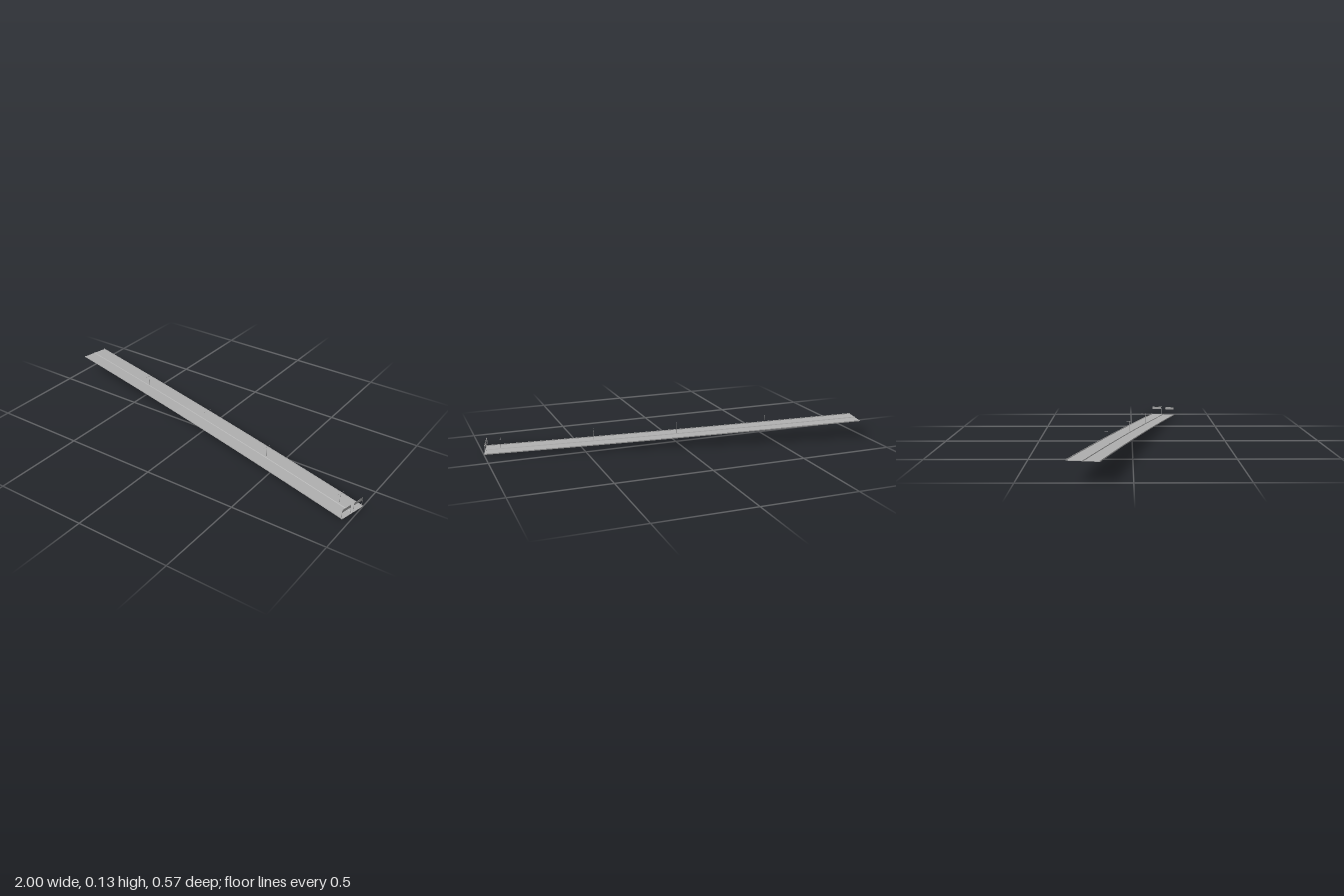
import * as THREE from 'three';

const concrete = new THREE.MeshStandardMaterial({ color: 0xb0b0b0 });
concrete.name = 'concrete';
const steel = new THREE.MeshStandardMaterial({ color: 0xa6a6a6 });
steel.name = 'steel';

// Centre line of the gently curved, sloping road; t = 0 is the high end
const centre = (t) => new THREE.Vector3(
  -0.983 + 1.966 * t,
  0.089 * (1 - t),
  -0.2125 + 0.425 * t - 0.048 * t * (1 - t)
);
const heading = (t) => Math.atan2(0.425 - 0.048 * (1 - 2 * t), 1.966);

// Point at a sideways offset (positive towards the front) and a height above the base
function place(t, offset, height) {
  const p = centre(t), a = heading(t);
  return new THREE.Vector3(p.x - Math.sin(a) * offset, p.y + height, p.z + Math.cos(a) * offset);
}

// A box bent along the whole road; taper narrows its top
function strip(name, offset, width, y0, y1, taper = 1) {
  const g = new THREE.BoxGeometry(1, 1, 1, 48, 1, 1);
  const pos = g.attributes.position;
  for (let i = 0; i < pos.count; i++) {
    const top = pos.getY(i) > 0;
    const side = offset + pos.getZ(i) * width * (top ? taper : 1);
    const p = place(pos.getX(i) + 0.5, side, top ? y1 : y0);
    pos.setXYZ(i, p.x, p.y, p.z);
  }
  g.computeVertexNormals();
  const mesh = new THREE.Mesh(g, concrete);
  mesh.name = name;
  return mesh;
}

function box(name, w, h, d, x, y, z, material = steel) {
  const mesh = new THREE.Mesh(new THREE.BoxGeometry(w, h, d), material);
  mesh.name = name;
  mesh.position.set(x, y, z);
  return mesh;
}

// Double-armed street lamp standing on the central barrier
function streetLamp(t) {
  const lamp = new THREE.Group();
  lamp.name = 'streetLamp';
  const pole = new THREE.Mesh(new THREE.CylinderGeometry(0.0005, 0.0009, 0.062, 8), steel);
  pole.name = 'lampPole';
  pole.position.y = 0.031;
  lamp.add(pole);
  for (const s of [-1, 1]) {
    const arm = box('lampArm', 0.0006, 0.0006, 0.02, 0, 0.0612, s * 0.01);
    const head = box('lampHead', 0.0015, 0.0008, 0.006, 0, 0.0615, s * 0.022);
    lamp.add(arm, head);
  }
  lamp.position.copy(place(t, 0, 0.001));
  lamp.rotation.y = -heading(t);
  return lamp;
}

// Sign gantry over one carriageway
function signGantry(t, offset) {
  const gantry = new THREE.Group();
  gantry.name = 'signGantry';
  const span = 0.06;
  for (const s of [-1, 1]) {
    gantry.add(box('gantryLeg', 0.0014, 0.05, 0.0014, 0, 0.025, s * span / 2));
  }
  gantry.add(box('gantryBeam', 0.0014, 0.0014, span, 0, 0.042, 0));
  gantry.add(box('signPanel', 0.001, 0.015, span - 0.004, 0.0012, 0.0425, 0, concrete));
  gantry.position.copy(place(t, offset, 0.0005));
  gantry.rotation.y = -heading(t);
  return gantry;
}

export function createModel() {
  const model = new THREE.Group();
  model.name = 'elevatedRoad';
  model.add(strip('roadDeck', 0, 0.149, 0, 0.002));
  model.add(strip('centralBarrier', 0, 0.008, 0.002, 0.0055, 0.5));
  for (const s of [-1, 1]) {
    model.add(strip('edgeBarrier', s * 0.073, 0.003, 0.002, 0.0055, 0.8));
    model.add(signGantry(0.997, s * 0.042));
  }
  for (const t of [0.26, 0.5, 0.72, 0.96]) model.add(streetLamp(t));
  return model;
}
